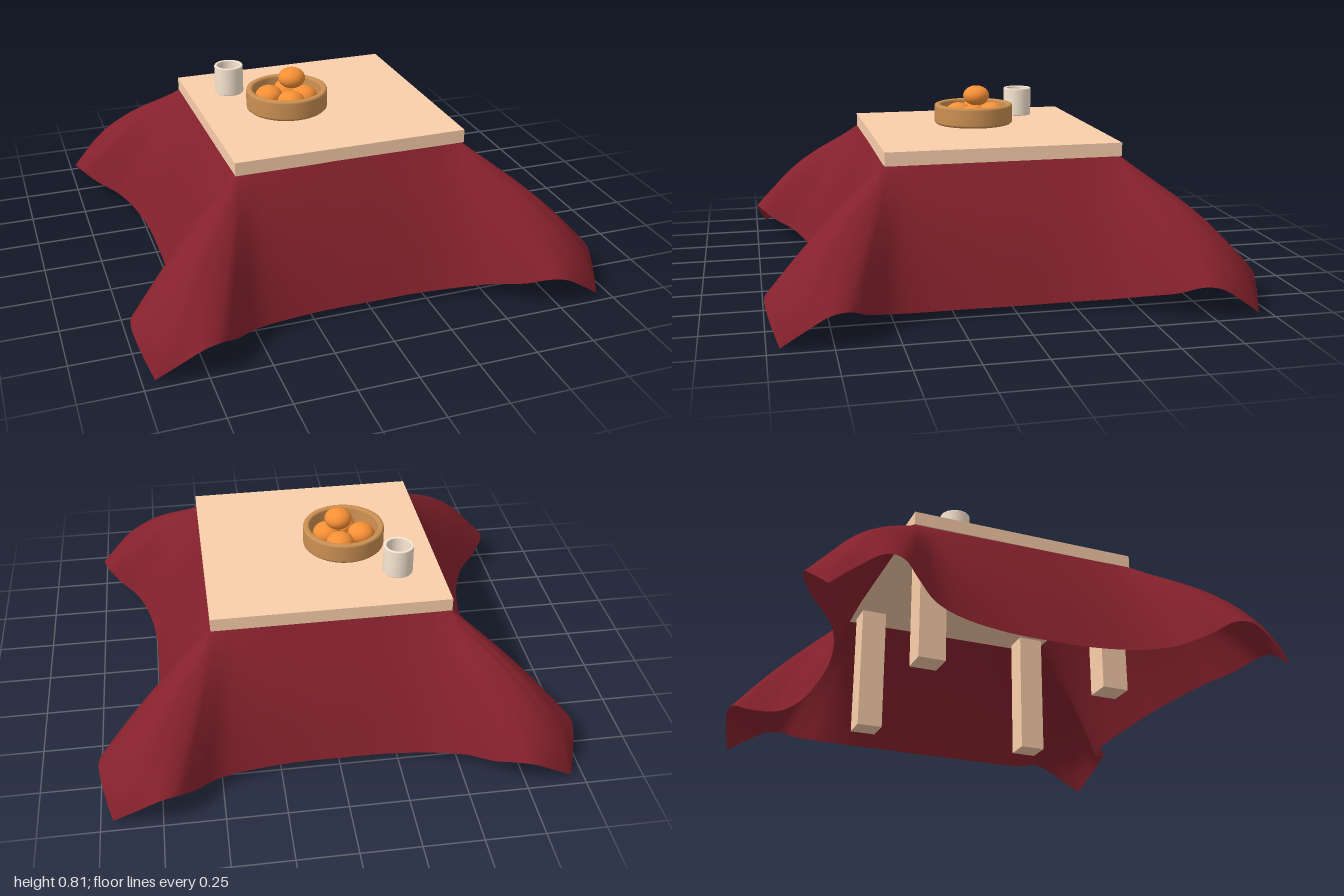
import * as THREE from 'three';

const WOOD = 0xfbcfab, CLOTH = 0x85212c, BOWL = 0xcb9052, FRUIT = 0xf79036, CUP = 0xfae8d3;

function part(parent, name, geometry, color, x = 0, y = 0, z = 0, side = THREE.FrontSide) {
  const mesh = new THREE.Mesh(geometry, new THREE.MeshStandardMaterial({ color, side }));
  mesh.name = name;
  mesh.position.set(x, y, z);
  parent.add(mesh);
  return mesh;
}

// Draped cloth: sections from the square table edge to a wavy hem, fanning out
// softly towards each corner, with a low ridge. One side is turned four times.
function blanketGeometry() {
  const half = [
    [0, 0.03, 0.745], [0.2, 0.033, 0.75], [0.4, 0.045, 0.785], [0.52, 0.065, 0.835],
    [0.62, 0.1, 0.925], [0.69, 0.135, 0.98], [0.76, 0.132, 0.998], [0.86, 0.07, 0.98],
    [0.95, 0.003, 0.95],
  ];
  const mirrored = half.slice(1).reverse().map(([x, y, z]) => [-x, y, z]);
  const hem = new THREE.CatmullRomCurve3([...mirrored, ...half].map(p => new THREE.Vector3(...p)));
  const cols = 80, rows = 24, edge = 0.5, topY = 0.578;
  const side = hem.getSpacedPoints(cols).slice(0, cols);
  const loop = cols * 4, pos = [], idx = [];

  for (let r = 0; r <= rows; r++) {
    const t = r / rows;
    const ridge = 0.36 * Math.pow(t, 1.5) * Math.pow(1 - t, 0.6);
    const belly = 0.012 * Math.sin(Math.PI * t);
    for (let k = 0; k < 4; k++) {
      for (const h of side) {
        const corner = THREE.MathUtils.smoothstep(Math.abs(h.x), 0.72, 0.95);
        const reach = Math.min(Math.abs(h.x) / 0.75, 1);
        const baseX = Math.sign(h.x) * edge * (1 - Math.pow(1 - reach, 1.5));
        let x = THREE.MathUtils.lerp(baseX, h.x, t);
        let z = THREE.MathUtils.lerp(edge, h.z, t) + belly * (1 - corner);
        const y = THREE.MathUtils.lerp(topY, h.y, t) + ridge * corner + belly;
        for (let n = 0; n < k; n++) [x, z] = [z, -x];
        pos.push(x, y, z);
      }
    }
  }
  for (let r = 0; r < rows; r++) {
    for (let j = 0; j < loop; j++) {
      const a = r * loop + j, b = r * loop + (j + 1) % loop;
      idx.push(a, a + loop, b, b, a + loop, b + loop);
    }
  }
  const g = new THREE.BufferGeometry();
  g.setAttribute('position', new THREE.Float32BufferAttribute(pos, 3));
  g.setIndex(idx);
  g.computeVertexNormals();
  return g;
}

const lathe = (pts, segments = 48) =>
  new THREE.LatheGeometry(pts.map(p => new THREE.Vector2(...p)), segments);

export function createModel() {
  const model = new THREE.Group();
  model.name = 'heatedTable';

  // Table
  const table = new THREE.Group();
  table.name = 'table';
  table.rotation.y = 0.008;
  model.add(table);
  part(table, 'tableTop', new THREE.BoxGeometry(1.012, 0.058, 1.005), WOOD, 0.002, 0.605, -0.003);
  for (const x of [-0.418, 0.412]) {
    for (const z of [-0.407, 0.415]) {
      part(table, 'leg', new THREE.BoxGeometry(0.11, 0.578, 0.115), WOOD, x, 0.289, z);
    }
  }

  // Blanket
  part(model, 'blanket', blanketGeometry(), CLOTH, 0, 0, 0, THREE.DoubleSide);

  // Fruit bowl
  const bowl = new THREE.Group();
  bowl.name = 'fruitBowl';
  bowl.position.set(-0.124, 0.634, 0);
  model.add(bowl);
  part(bowl, 'bowl', lathe([
    [0, 0], [0.172, 0], [0.179, 0.006], [0.18, 0.012], [0.18, 0.08], [0.178, 0.087],
    [0.172, 0.09], [0.158, 0.09], [0.153, 0.086], [0.152, 0.08], [0.148, 0.02],
    [0.145, 0.015], [0.138, 0.014], [0, 0.014],
  ]), BOWL, 0, 0, 0, THREE.DoubleSide);
  const fruits = [
    [-0.077, 0.053, -0.02], [0.027, 0.05, -0.08], [-0.002, 0.05, 0.07],
    [0.074, 0.047, 0.016], [0.026, 0.13, -0.008],
  ];
  for (const [x, y, z] of fruits) {
    const fruit = part(bowl, 'orange', new THREE.SphereGeometry(0.06, 28, 18), FRUIT, x, y, z);
    fruit.scale.y = 0.76;
  }

  // Cup
  part(model, 'cup', lathe([
    [0, 0], [0.062, 0], [0.065, 0.004], [0.065, 0.126], [0.063, 0.13],
    [0.054, 0.13], [0.052, 0.126], [0.051, 0.02], [0.049, 0.016], [0.045, 0.015], [0, 0.015],
  ], 36), CUP, -0.321, 0.634, -0.257, THREE.DoubleSide);

  return model;
}
